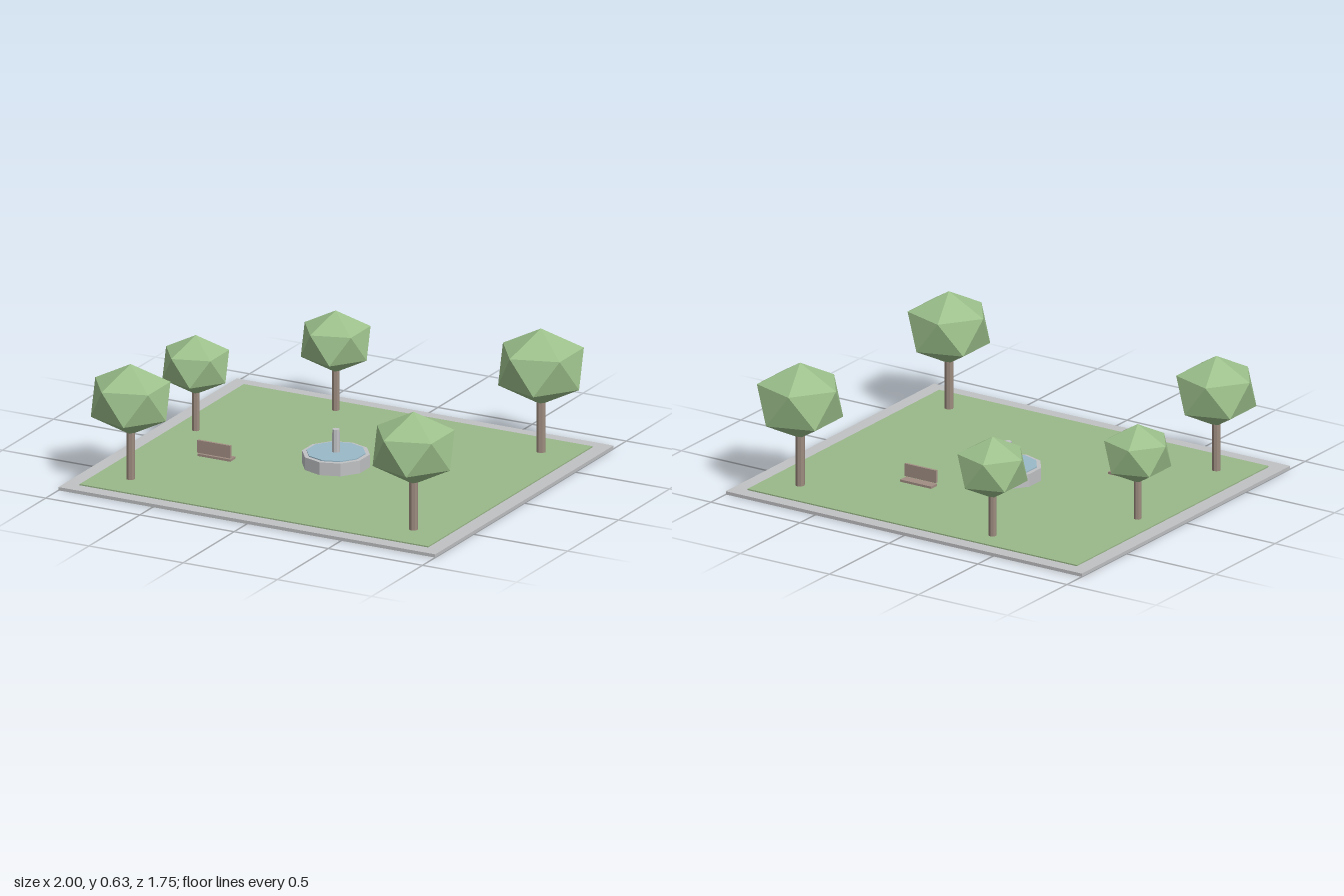
import * as THREE from 'three';

export function createModel() {
  const park = new THREE.Group();
  park.name = 'park';

  const material = (name, color) => {
    const m = new THREE.MeshStandardMaterial({ color, flatShading: true });
    m.name = name;
    return m;
  };
  const stone = material('stone', 0xc0c1c3);
  const grass = material('grass', 0x9ab889);
  const foliage = material('foliage', 0x9cc08b);
  const bark = material('bark', 0x9c8b7e);
  const wood = material('wood', 0xa18e83);
  const water = material('water', 0x9ab9c9);

  const add = (parent, name, geometry, mat, x, y, z) => {
    const mesh = new THREE.Mesh(geometry, mat);
    mesh.name = name;
    mesh.position.set(x, y, z);
    parent.add(mesh);
    return mesh;
  };
  const group = (name, x, z) => {
    const g = new THREE.Group();
    g.name = name;
    g.position.set(x, 0, z);
    park.add(g);
    return g;
  };

  // Ground: paved slab with a thin lawn on top
  add(park, 'pavement', new THREE.BoxGeometry(2, 0.016, 1.75), stone, 0, 0.008, 0);
  add(park, 'lawn', new THREE.BoxGeometry(1.85, 0.008, 1.61), grass, 0, 0.018, 0);

  // Crown: icosahedron turned to stand on a vertex, slightly squashed
  const crownShape = new THREE.IcosahedronGeometry(1, 0);
  crownShape.rotateZ(Math.atan2(1, (1 + Math.sqrt(5)) / 2));
  crownShape.scale(1, 0.83, 1);

  // Trees: x, z, crown radius, crown centre height
  const trees = [
    [-0.752, 0.625, 0.21, 0.415],
    [0.75, 0.625, 0.216, 0.424],
    [0.75, -0.625, 0.226, 0.443],
    [-0.375, -0.69, 0.184, 0.36],
    [-0.812, -0.125, 0.176, 0.346],
  ];
  for (const [x, z, radius, height] of trees) {
    const tree = group('tree', x, z);
    const r = radius * 0.1;
    add(tree, 'trunk', new THREE.CylinderGeometry(r, r, height, 8), bark, 0, height / 2, 0);
    add(tree, 'crown', crownShape, foliage, 0, height, 0).scale.setScalar(radius);
  }

  // Fountain: ten-sided basin, water disc and centre post
  const fountain = group('fountain', 0, 0);
  add(fountain, 'basin', new THREE.CylinderGeometry(0.161, 0.161, 0.065, 10), stone, 0, 0.0525, 0);
  add(fountain, 'waterSurface', new THREE.CylinderGeometry(0.14, 0.14, 0.006, 10), water, 0, 0.087, 0);
  add(fountain, 'post', new THREE.CylinderGeometry(0.018, 0.02, 0.12, 8), stone, 0, 0.141, 0);

  // Benches: seat slab with a backrest on the front edge
  for (const [x, z] of [[0.25, -0.377], [-0.5, 0.25]]) {
    const bench = group('bench', x, z);
    add(bench, 'seat', new THREE.BoxGeometry(0.175, 0.011, 0.05), wood, 0, 0.06, 0);
    add(bench, 'backrest', new THREE.BoxGeometry(0.175, 0.062, 0.012), wood, 0, 0.102, 0.02);
  }

  return park;
}
